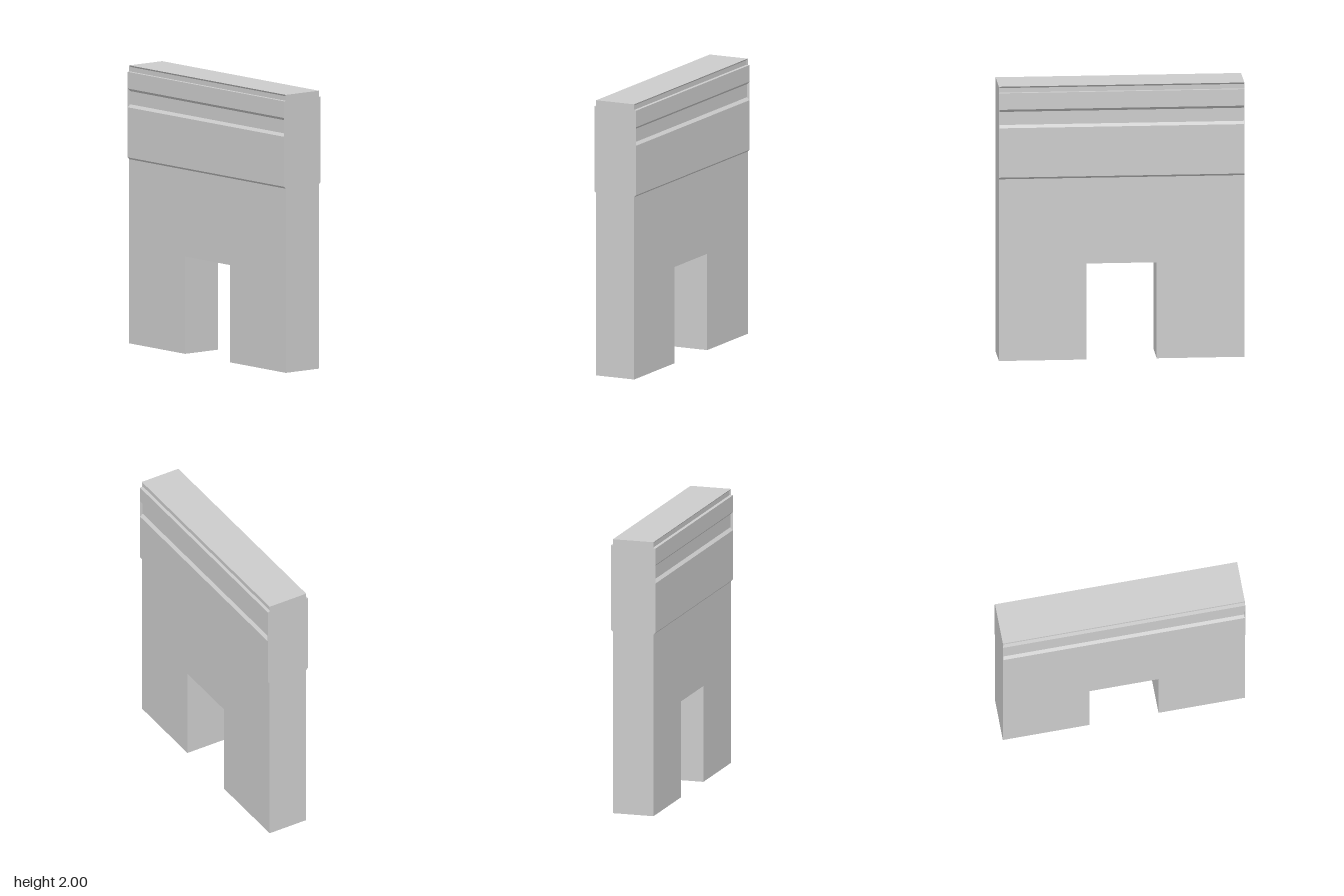
import * as THREE from 'three';

const HALF_W = 0.875, WALL_Z = 0.152, BAND_Z = 0.167;

// Half cross-sections [z, y] of the upper band, from bottom to top
const bandFoot = [[WALL_Z, 1.325], [BAND_Z, 1.34]];
const groove = [[BAND_Z, 1.7], [0.147, 1.72], [0.147, 1.815], [BAND_Z, 1.835]];
const ledge = [[BAND_Z, 1.955]];
const lip = [[0.142, 1.955], [0.142, 1.988], [WALL_Z, 2]];
const plainTop = [[WALL_Z, 1.955], [WALL_Z, 2]];

// Mirrors a half section front to back and extrudes it along x
function sectionAlongX(half, x0, x1) {
  const mirrored = half.map(([z, y]) => [-z, y]).reverse();
  const shape = new THREE.Shape([...half, ...mirrored].map(([z, y]) => new THREE.Vector2(z, y)));
  const geo = new THREE.ExtrudeGeometry(shape, { depth: x1 - x0, bevelEnabled: false });
  return geo.rotateY(Math.PI / 2).translate(x0, 0, 0);
}

export function createModel() {
  const group = new THREE.Group();
  const material = new THREE.MeshStandardMaterial({ color: 0xcccccc, flatShading: true });
  const add = (name, geometry) => {
    const mesh = new THREE.Mesh(geometry, material);
    mesh.name = name;
    group.add(mesh);
  };

  // Wall with a doorway cut up from the ground
  const outline = [
    [-HALF_W, 0], [-0.25, 0], [-0.25, 0.7], [0.25, 0.7],
    [0.25, 0], [HALF_W, 0], [HALF_W, 1.325], [-HALF_W, 1.325],
  ];
  const wall = new THREE.ExtrudeGeometry(
    new THREE.Shape(outline.map(([x, y]) => new THREE.Vector2(x, y))),
    { depth: 2 * WALL_Z, bevelEnabled: false },
  ).translate(0, 0, -WALL_Z);
  add('wall', wall);

  // Upper band with a groove and a top lip on both faces
  const cap = 0.003;
  add('upperBand', sectionAlongX([...bandFoot, ...groove, ...ledge, ...lip], -HALF_W + cap, HALF_W - cap));

  // Thin plates closing the grooves at both ends
  const plate = [...bandFoot, ...ledge, ...plainTop];
  add('rightEndPlate', sectionAlongX(plate, -HALF_W, -HALF_W + cap));
  add('leftEndPlate', sectionAlongX(plate, HALF_W - cap, HALF_W));

  return group;
}
